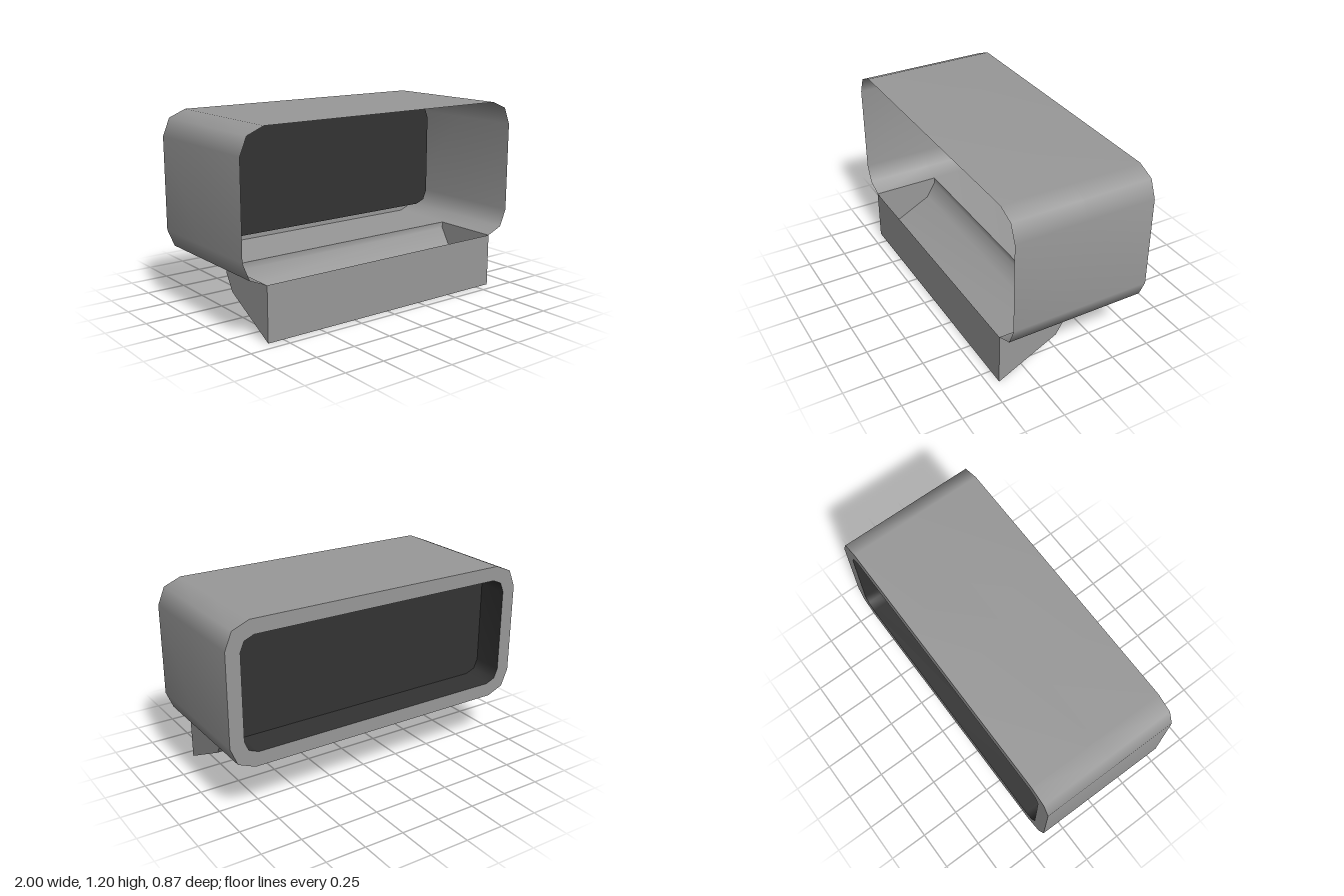
import * as THREE from 'three';

const FRONT = 0.435, BACK = -0.435, PANEL_Z = -0.24, MID_Y = 0.767;

// Rounded rectangle as a counter-clockwise loop, two facets per corner
function roundedLoop(halfW, halfH, r) {
  const pts = [];
  [[1, 1], [-1, 1], [-1, -1], [1, -1]].forEach(([sx, sy], corner) => {
    for (let k = 0; k < 3; k++) {
      const a = (corner + k / 2) * Math.PI / 2;
      pts.push(new THREE.Vector2(
        sx * (halfW - r) + r * Math.cos(a),
        MID_Y + sy * (halfH - r) + r * Math.sin(a)));
    }
  });
  return pts;
}

// Smooth skin between rows of points; skip(row, i) leaves a quad open
function loft(rows, closed, skip = () => false) {
  const n = rows[0].length, index = [];
  for (let r = 0; r < rows.length - 1; r++) {
    for (let i = 0; i < (closed ? n : n - 1); i++) {
      if (skip(r, i)) continue;
      const j = (i + 1) % n;
      const a = r * n + i, b = r * n + j, c = b + n, d = a + n;
      index.push(a, b, c, a, c, d);
    }
  }
  const geo = new THREE.BufferGeometry().setFromPoints(rows.flat());
  geo.setIndex(index);
  geo.computeVertexNormals();
  return geo;
}

const atZ = (loop, z) => loop.map(p => new THREE.Vector3(p.x, p.y, z));

export function createModel() {
  const model = new THREE.Group();
  const grey = new THREE.MeshStandardMaterial({ color: 0x999999, side: THREE.DoubleSide });
  grey.name = 'grey casing';
  const dark = new THREE.MeshStandardMaterial({ color: 0x333333, side: THREE.DoubleSide });
  dark.name = 'dark panel';

  const add = (name, geo, mat, parent = model) => {
    const mesh = new THREE.Mesh(geo, mat);
    mesh.name = name;
    parent.add(mesh);
  };

  const outer = roundedLoop(1, 0.433, 0.15);
  const inner = roundedLoop(0.912, 0.345, 0.085);

  // Thin sleeve, open at the front and over the lower scoop
  add('sleeve', loft([BACK, 0, FRONT].map(z => atZ(outer, z)), true,
    (row, i) => row === 1 && i === 8), grey);

  // Flat rim around the back opening
  const rim = new THREE.Shape(outer);
  rim.holes.push(new THREE.Path(inner));
  add('backRim', new THREE.ShapeGeometry(rim).rotateY(Math.PI).translate(0, 0, BACK), grey);

  // Recess running inward from the rim, closed by the dark panel
  add('recessWall', loft([atZ(inner, PANEL_Z), atZ(inner, BACK)], true), dark);
  add('recessPanel', new THREE.ShapeGeometry(new THREE.Shape(inner))
    .rotateY(Math.PI).translate(0, 0, PANEL_Z), dark);

  // Scoop under the front half: [z, y] from its front lip to its rear edge
  const scoop = new THREE.Group();
  scoop.name = 'scoop';
  model.add(scoop);
  const top = MID_Y - 0.433, halfW = 0.85;
  const profile = [[FRONT, 0], [0.06, 0.195], [0, 0.295], [0, top]];
  add('scoopFloor', loft([-halfW, halfW].map(x =>
    profile.map(([z, y]) => new THREE.Vector3(x, y, z))), false), grey, scoop);
  add('scoopFront', new THREE.PlaneGeometry(2 * halfW, top)
    .translate(0, top / 2, FRONT), grey, scoop);
  for (const s of [-1, 1]) {
    const end = new THREE.Shape([...profile, [FRONT, top]]
      .map(([z, y]) => new THREE.Vector2(-s * z, y)));
    add(s > 0 ? 'scoopLeftEnd' : 'scoopRightEnd', new THREE.ShapeGeometry(end)
      .rotateY(s * Math.PI / 2).translate(s * halfW, 0, 0), grey, scoop);
  }

  return model;
}
